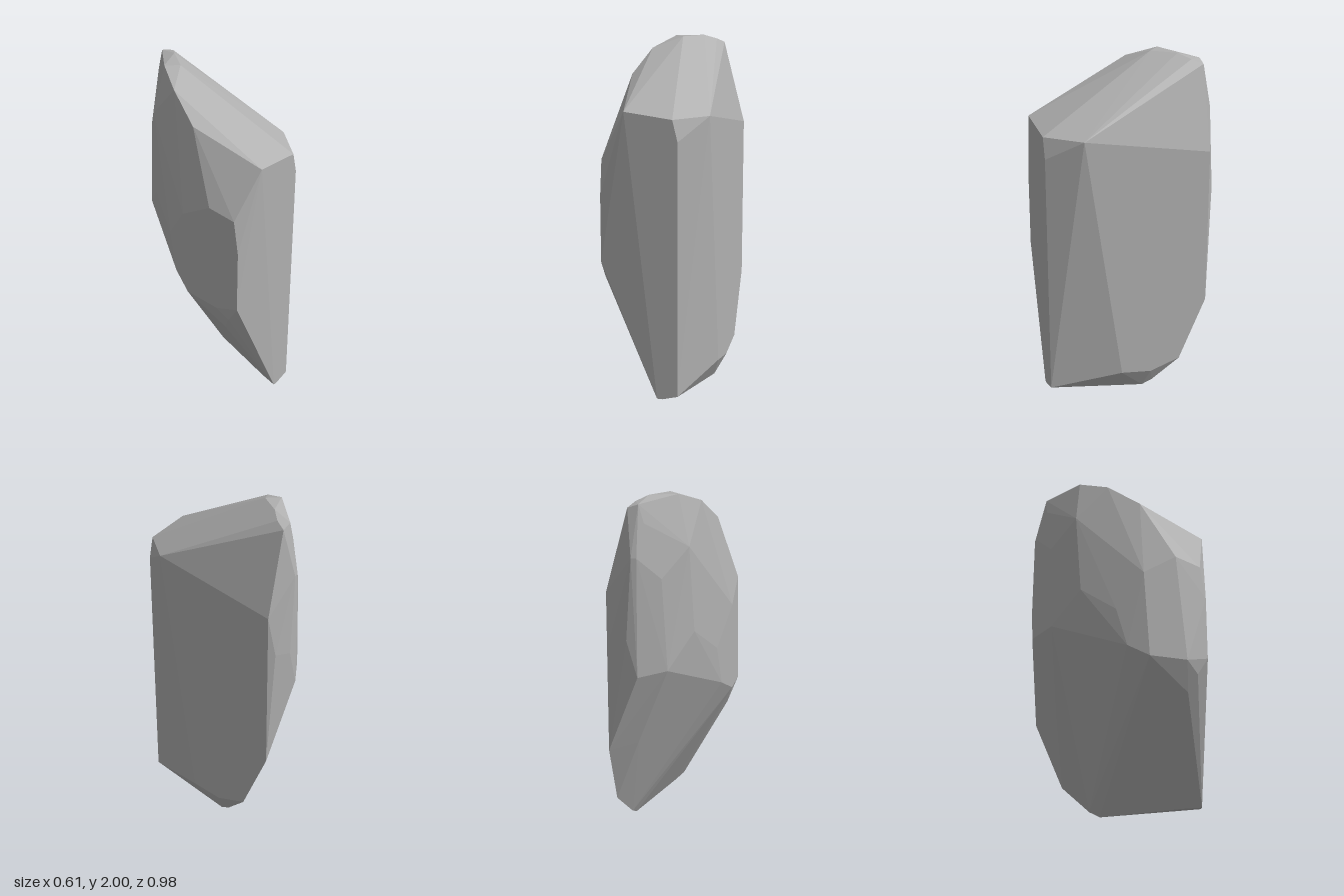
import * as THREE from 'three';
import { ConvexGeometry } from 'three/addons/geometries/ConvexGeometry.js';

// Corner points of the faceted stone, grouped by region
const corners = {
  frontFace: [
    [-0.125, 1.66, 0.49], [0.15, 1.63, 0.49], [0.18, 1.51, 0.49],
    [0.18, 0.06, 0.49], [0.09, 0.035, 0.49], [0.06, 0.035, 0.49],
  ],
  leftEdge: [
    [-0.278, 1.38, 0.43], [-0.277, 1.18, 0.46], [-0.277, 0.8, 0.46], [-0.275, 0.7, 0.4],
    [-0.305, 1.42, 0.28], [-0.305, 0.77, 0.335], [-0.305, 1.3, 0.09],
    [-0.305, 0.78, 0.12], [-0.24, 0.6, 0.35],
  ],
  slopedTop: [
    [-0.215, 1.81, 0.09], [-0.155, 1.94, -0.095], [0, 2, -0.185], [0.09, 2, -0.31],
    [-0.06, 2, -0.25], [0.15, 1.975, -0.37], [0.18, 1.95, -0.43], [0.12, 1.97, -0.43],
  ],
  rightFace: [
    [0.305, 1.63, 0.305], [0.305, 1.48, -0.43], [0.305, 0.55, -0.43],
    [0.305, 0.18, -0.27], [0.305, 0.125, -0.09], [0.305, 0.15, 0.09],
  ],
  back: [
    [0.09, 1.87, -0.43], [0.15, 1.69, -0.49], [0.12, 1.69, -0.485], [0.18, 1.23, -0.49],
    [0.12, 1.02, -0.49], [0.275, 1.25, -0.46], [0, 1.565, -0.41], [-0.03, 1.04, -0.4],
    [-0.125, 1.72, -0.28], [-0.15, 1.233, -0.25], [-0.245, 1.08, -0.06],
    [-0.265, 0.85, 0], [0.155, 0.575, -0.336],
  ],
  base: [
    [0.24, 0, -0.06], [0.25, 0.03, -0.12], [0.15, 0.02, 0.25], [0.09, 0.03, 0.38],
  ],
};

export function createModel() {
  const group = new THREE.Group();
  group.name = 'rock';
  const stone = new THREE.MeshStandardMaterial({ color: 0xb0b0b0 });
  stone.name = 'grey stone';

  // One solid convex boulder with flat facets
  const points = Object.values(corners).flat().map((p) => new THREE.Vector3(...p));
  const boulder = new THREE.Mesh(new ConvexGeometry(points), stone);
  boulder.name = 'boulder';
  group.add(boulder);
  return group;
}
